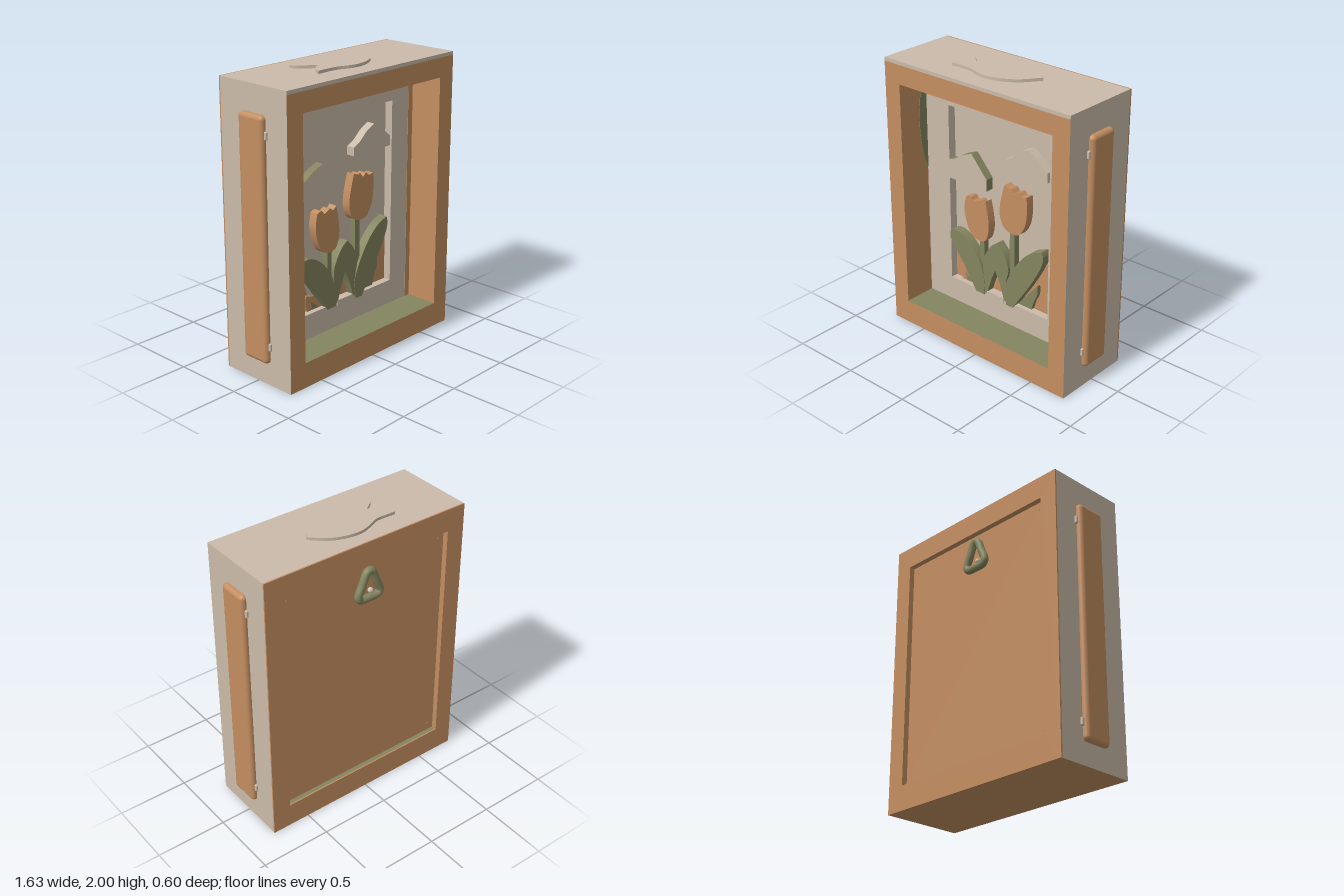
import * as THREE from 'three';
import { RoundedBoxGeometry } from 'three/addons/geometries/RoundedBoxGeometry.js';

export function createModel() {
  const model = new THREE.Group();
  model.name = 'tulipShadowBox';
  const paint = (name, color) => {
    const m = new THREE.MeshStandardMaterial({ color });
    m.name = name;
    return m;
  };
  const clay = paint('clay orange', 0xc38e61);
  const cream = paint('warm cream', 0xcbbbaa);
  const leaf = paint('leaf green', 0x84855f);

  const add = (name, geometry, material, parent = model) => {
    const mesh = new THREE.Mesh(geometry, material);
    mesh.name = name;
    parent.add(mesh);
    return mesh;
  };
  // box given by its min and max corners
  const box = (name, [x0, y0, z0], [x1, y1, z1], material) =>
    add(name, new THREE.BoxGeometry(x1 - x0, y1 - y0, z1 - z0)
      .translate((x0 + x1) / 2, (y0 + y1) / 2, (z0 + z1) / 2), material);
  // outline made of smooth runs that meet at sharp corners
  const outline = (...runs) => {
    const s = new THREE.Shape();
    s.moveTo(...runs[0][0]);
    runs.forEach((run, i) => {
      const pts = (i ? run : run.slice(1)).map(p => new THREE.Vector2(...p));
      if (pts.length === 1) s.lineTo(pts[0].x, pts[0].y);
      else s.splineThru(pts);
    });
    return s;
  };
  const polygon = pts => new THREE.Shape(pts.map(p => new THREE.Vector2(...p)));
  const rect = (x0, y0, x1, y1) => polygon([[x0, y0], [x1, y0], [x1, y1], [x0, y1]]);
  const slab = (shape, z0, z1) => new THREE.ExtrudeGeometry(shape,
    { depth: z1 - z0, bevelEnabled: false, curveSegments: 16 }).translate(0, 0, z0);
  const ring = (outer, inner) => { outer.holes.push(inner); return outer; };

  // case walls: cream outside, clay faces, green floor inside
  const W = 0.78, H = 1.98, ix = 0.648, y0 = 0.175, y1 = 1.82, zb = -0.285, zf = 0.3;
  box('leftWall', [ix, 0, zb], [W, 1.955, zf], [cream, clay, clay, clay, clay, clay]);
  box('rightWall', [-W, 0, zb], [-ix, 1.955, zf], [clay, cream, clay, clay, clay, clay]);
  box('floorWall', [-ix, 0, zb], [ix, y0, zf], [clay, clay, leaf, clay, clay, clay]);
  box('ceilingWall', [-ix, y1, zb], [ix, 1.955, zf], clay);
  box('topCap', [-W, 1.955, zb], [W, H, zf], cream);

  // back rim and recessed back panel
  add('backRim', slab(ring(rect(-W, 0, W, H), rect(-ix, y0, ix, y1)), -0.295, zb), clay);
  box('backPanel', [-ix, y0, -0.255], [ix, y1, 0], [clay, clay, clay, clay, cream, clay]);
  for (const x of [-0.6, 0.6]) for (const y of [0.23, 1.77])
    box('panelPin', [x - 0.006, y - 0.006, -0.258], [x + 0.006, y + 0.006, -0.25], clay);

  // window mat and its painted edges
  add('mat', slab(ring(rect(-ix, y0, ix, y1), rect(-0.44, 0.35, 0.44, 1.66)), 0, 0.06), cream);
  box('matEdgeSide', [0.605, y0, 0.06], [ix, y1, 0.063], clay);
  box('matEdgeTop', [-ix, 1.79, 0.06], [0.605, y1, 0.063], clay);
  const patch = outline([[0.06, 1.15], [0.11, 1.3], [0.13, 1.55], [0.1, 1.8]], [[0.06, 1.8]]);
  add('wallPatch', slab(patch, 0, 0.004).rotateY(-Math.PI / 2).translate(-ix + 0.004, 0, 0), leaf);

  // scene: soil, clouds, flowers and leaves
  add('soil', slab(polygon([[-0.44, 0.35], [0.44, 0.35], [0.44, 0.72], [0.37, 0.73], [0.3, 0.62],
    [0.1, 0.5], [-0.2, 0.42], [-0.33, 0.45], [-0.36, 0.54], [-0.44, 0.58]]), 0, 0.006), clay);
  add('leftSideCloud', slab(outline([[-0.44, 1.27], [-0.4, 1.28], [-0.32, 1.33], [-0.235, 1.365]],
    [[-0.1, 1.215]], [[-0.1, 1.13]], [[-0.44, 1.13]]), 0, 0.061), [cream, leaf]);
  add('rightSideCloud', slab(outline([[0.06, 1.41], [0.12, 1.44], [0.19, 1.5], [0.26, 1.535]],
    [[0.33, 1.49], [0.42, 1.42]], [[0.42, 1.35]], [[0.06, 1.35]]), 0, 0.06), cream);

  box('shortStem', [-0.18, 0.5, 0], [-0.14, 0.76, 0.045], leaf);
  box('tallStem', [0.092, 0.55, 0], [0.135, 0.91, 0.045], leaf);
  add('shortTulip', slab(outline(
    [[-0.29, 1.035], [-0.25, 1.047], [-0.22, 1.02], [-0.17, 1.042], [-0.14, 1.025], [-0.112, 1.05]],
    [[-0.09, 0.95], [-0.083, 0.85], [-0.11, 0.76], [-0.17, 0.735], [-0.24, 0.76],
      [-0.285, 0.84], [-0.305, 0.94], [-0.29, 1.035]]), 0, 0.062), clay);
  add('tallTulip', slab(outline(
    [[0.06, 1.23], [0.1, 1.215], [0.12, 1.22], [0.15, 1.19], [0.18, 1.21], [0.21, 1.188], [0.25, 1.195]],
    [[0.255, 1.1], [0.24, 0.99], [0.19, 0.905], [0.12, 0.89], [0.05, 0.92],
      [0.017, 1.0], [0.025, 1.1], [0.06, 1.23]]), 0, 0.062), clay);

  add('sideLeafRight', slab(outline([[-0.2, 0.33], [-0.3, 0.48], [-0.44, 0.67]],
    [[-0.43, 0.735], [-0.35, 0.74], [-0.25, 0.68], [-0.17, 0.58], [-0.13, 0.47], [-0.12, 0.33]]), 0, 0.066), leaf);
  add('sideLeafLeft', slab(outline([[0.08, 0.325], [0.065, 0.44], [0.1, 0.55], [0.19, 0.7], [0.29, 0.8], [0.39, 0.845]],
    [[0.4, 0.79], [0.37, 0.7], [0.28, 0.54], [0.2, 0.42], [0.14, 0.325]]), 0, 0.066), leaf);
  add('middleLeaves', slab(outline([[-0.125, 0.35], [-0.135, 0.5], [-0.13, 0.61], [-0.07, 0.72], [-0.005, 0.775]],
    [[0.06, 0.7], [0.095, 0.6], [0.075, 0.5], [0.08, 0.35]], [[0.055, 0.35]],
    [[0.02, 0.46], [-0.025, 0.555]], [[-0.06, 0.47], [-0.1, 0.35]]), 0, 0.063), leaf);
  add('smallLeafLeft', slab(outline([[0.16, 0.355], [0.23, 0.44], [0.33, 0.555]],
    [[0.33, 0.49], [0.3, 0.42], [0.28, 0.355]]), 0, 0.035), leaf);
  add('smallLeafRight', slab(outline([[-0.37, 0.47], [-0.29, 0.44], [-0.22, 0.355]],
    [[-0.36, 0.355]], [[-0.375, 0.41], [-0.37, 0.47]]), 0, 0.03), clay);
  add('smallLeafPaint', slab(polygon([[-0.33, 0.42], [-0.25, 0.36], [-0.32, 0.36]]), 0.03, 0.033), leaf);
  box('leafFoot', [-0.1, 0.325, 0], [0.055, 0.365, 0.064], cream);

  // raised fish on the lid
  const fish = outline(
    [[0.29, -0.045], [0.2, -0.13], [0.1, -0.175], [-0.01, -0.19], [-0.1, -0.168], [-0.19, -0.13], [-0.27, -0.128], [-0.34, -0.13]],
    [[-0.32, -0.08], [-0.22, 0.005]], [[-0.3, 0.065], [-0.335, 0.125]],
    [[-0.24, 0.122], [-0.16, 0.13], [-0.08, 0.157], [0, 0.165], [0.1, 0.14], [0.2, 0.075], [0.29, -0.045]]);
  add('lidFish', slab(fish, -0.02, 0).rotateX(Math.PI / 2).translate(0, H, 0), cream);

  // side rails with their clips
  for (const s of [1, -1]) {
    add(s > 0 ? 'leftRail' : 'rightRail', new RoundedBoxGeometry(0.08, 1.645, 0.218, 4, 0.03)
      .translate(s * 0.776, 0.977, 0.008), clay);
    for (const y of [0.275, 1.675])
      add('railClip', new RoundedBoxGeometry(0.04, 0.055, 0.25, 2, 0.008).translate(s * 0.775, y, 0.007), cream);
  }

  // triangular hanging loop with a small peg
  const loop = new THREE.CatmullRomCurve3([[-0.035, 1.755], [-0.005, 1.755], [0.035, 1.67], [0.066, 1.59], [0.05, 1.565],
    [-0.02, 1.56], [-0.09, 1.565], [-0.106, 1.59], [-0.075, 1.67]].map(([x, y]) => new THREE.Vector3(x, y, -0.275)), true);
  add('hangingLoop', new THREE.TubeGeometry(loop, 64, 0.027, 12, true), leaf);
  add('hangingPeg', new THREE.SphereGeometry(0.02, 12, 8).translate(-0.035, 1.605, -0.27), cream);

  return model;
}
